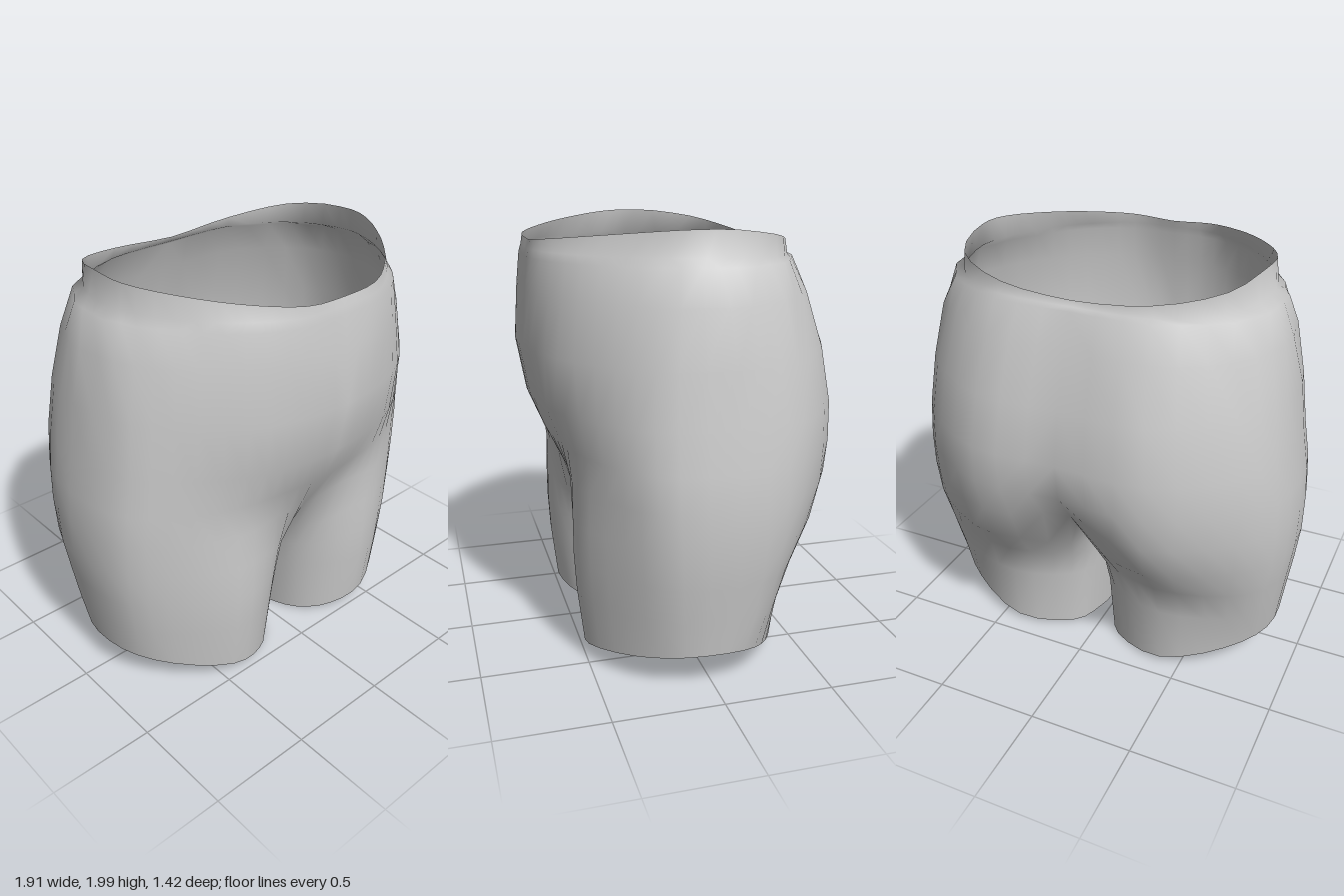
import * as THREE from 'three';
import { mergeVertices } from 'three/addons/utils/BufferGeometryUtils.js';

const SUB = 3; // subdivisions between control points
const fade = (v, w) => Math.min(Math.max(v, 0) / w, 1);

// Half sections as [x, z] pairs: front centre, round the hip, to back centre.
const torso = [
  { y: (x, z) => 1.92 + 0.08 * (x / 0.71) ** 1.5 - 0.03 * fade(-z - 0.1, 0.35),
    p: [0, .65, .2, .645, .38, .54, .54, .38, .68, .16, .705, -.03, .62, -.32, .35, -.465, 0, -.48] },
  { y: (x, z) => 1.885 - 0.02 * fade(-z, 0.4),
    p: [0, .66, .21, .65, .4, .545, .56, .39, .695, .16, .725, -.06, .62, -.33, .36, -.475, 0, -.49] },
  { y: () => 1.85, fold: 0.012,
    p: [0, .67, .22, .66, .44, .55, .62, .35, .75, .13, .775, -.1, .66, -.34, .36, -.5, 0, -.51] },
  { y: () => 1.7, fold: -0.008,
    p: [0, .69, .22, .675, .45, .57, .66, .38, .8, .15, .83, -.14, .69, -.39, .38, -.565, 0, -.565] },
  { y: () => 1.45,
    p: [0, .715, .22, .69, .46, .6, .7, .4, .85, .17, .875, -.18, .74, -.44, .4, -.65, 0, -.645] },
  { y: () => 1.2,
    p: [0, .67, .22, .65, .46, .575, .72, .4, .88, .18, .905, -.2, .77, -.47, .42, -.69, 0, -.69] },
  { y: () => 1.02,
    p: [0, .595, .22, .575, .46, .53, .74, .39, .91, .18, .93, -.2, .78, -.47, .42, -.69, 0, -.67] },
];

// Leg sections carry on along the inner thigh and close; the first is the crotch.
const legs = [
  { y: (x, z) => THREE.MathUtils.lerp(0.63 + 0.75 * z * z, 0.86, fade(x, 0.2)), min: 0,
    p: [0, .47, .22, .52, .46, .525, .75, .38, .92, .18, .94, -.2, .77, -.47, .4, -.67, 0, -.56,
      0, -.25, 0, 0, 0, .22] },
  { y: (x) => 0.57 + 0.11 * fade(x, 0.3), min: 0.004,
    p: [.05, .38, .22, .5, .46, .53, .74, .38, .92, .17, .935, -.2, .76, -.44, .39, -.61, .07, -.42,
      .01, -.2, .006, 0, .01, .2] },
  { y: (x) => 0.46 + 0.05 * fade(x, 0.3), min: 0.004,
    p: [.07, .37, .24, .5, .46, .53, .74, .37, .905, .16, .91, -.19, .73, -.39, .39, -.48, .1, -.36,
      .015, -.18, .006, 0, .015, .2] },
  { y: () => 0.33, min: 0.008,
    p: [.09, .36, .25, .49, .46, .52, .72, .36, .88, .15, .885, -.17, .71, -.34, .4, -.425, .12, -.33,
      .025, -.17, .012, 0, .025, .19] },
  // Hem, lower at the back
  { y: (x, z) => 0.005 + 0.175 * (Math.max(x - 0.03, 0) / 0.86) ** (1.75 - z), min: 0.03,
    p: [.12, .34, .26, .46, .46, .49, .71, .34, .86, .13, .865, -.13, .7, -.3, .4, -.41, .13, -.31,
      .05, -.15, .03, 0, .05, .17] },
];

// Smooth one section into a row of 3D points
function section({ p, y, min = 0, fold = 0 }, closedLeg) {
  const pts = [];
  for (let i = 0; i < p.length; i += 2) pts.push(new THREE.Vector3(p[i], 0, p[i + 1]));
  const half = pts.length;
  if (!closedLeg) {
    for (let i = half - 2; i > 0; i--) pts.push(new THREE.Vector3(-pts[i].x, 0, pts[i].z));
  }
  const curve = new THREE.CatmullRomCurve3(pts, true, 'catmullrom', 0.5);
  const steps = pts.length * SUB;
  const count = closedLeg ? steps + 1 : (half - 1) * SUB + 1;
  return Array.from({ length: count }, (_, i) => {
    const v = curve.getPoint((i % steps) / steps);
    // Gathered cloth around the hips and back of the waist
    const gather = 1 + fold * Math.cos(i * 2.4) * fade(i - 8, 4) * fade(24 - i, 4);
    v.x = Math.max(v.x * gather, min);
    v.z *= gather;
    v.y = y(v.x, v.z);
    return v;
  });
}

function createModel() {
  const positions = [];
  const triangle = (a, b, c) => {
    for (const v of [a, b, c]) positions.push(v.x, v.y, v.z);
    // Mirrored half with reversed corners
    for (const v of [a, c, b]) positions.push(v.x === 0 ? 0 : -v.x, v.y, v.z);
  };
  const loft = (rows) => {
    for (let r = 0; r + 1 < rows.length; r++) {
      const [top, low] = [rows[r], rows[r + 1]];
      for (let i = 0; i + 1 < Math.min(top.length, low.length); i++) {
        triangle(top[i], low[i], top[i + 1]);
        triangle(top[i + 1], low[i], low[i + 1]);
      }
    }
  };
  const legRows = legs.map((s) => section(s, true));
  loft([...torso.map((s) => section(s, false)), legRows[0]]);
  loft(legRows);

  let geometry = new THREE.BufferGeometry();
  geometry.setAttribute('position', new THREE.Float32BufferAttribute(positions, 3));
  geometry = mergeVertices(geometry, 1e-4);
  geometry.computeVertexNormals();

  const shorts = new THREE.Mesh(
    geometry,
    new THREE.MeshStandardMaterial({ color: 0xcccccc, side: THREE.DoubleSide }),
  );
  shorts.name = 'shorts';
  const group = new THREE.Group();
  group.name = 'shortTrousers';
  group.add(shorts);
  return group;
}

export { createModel };
